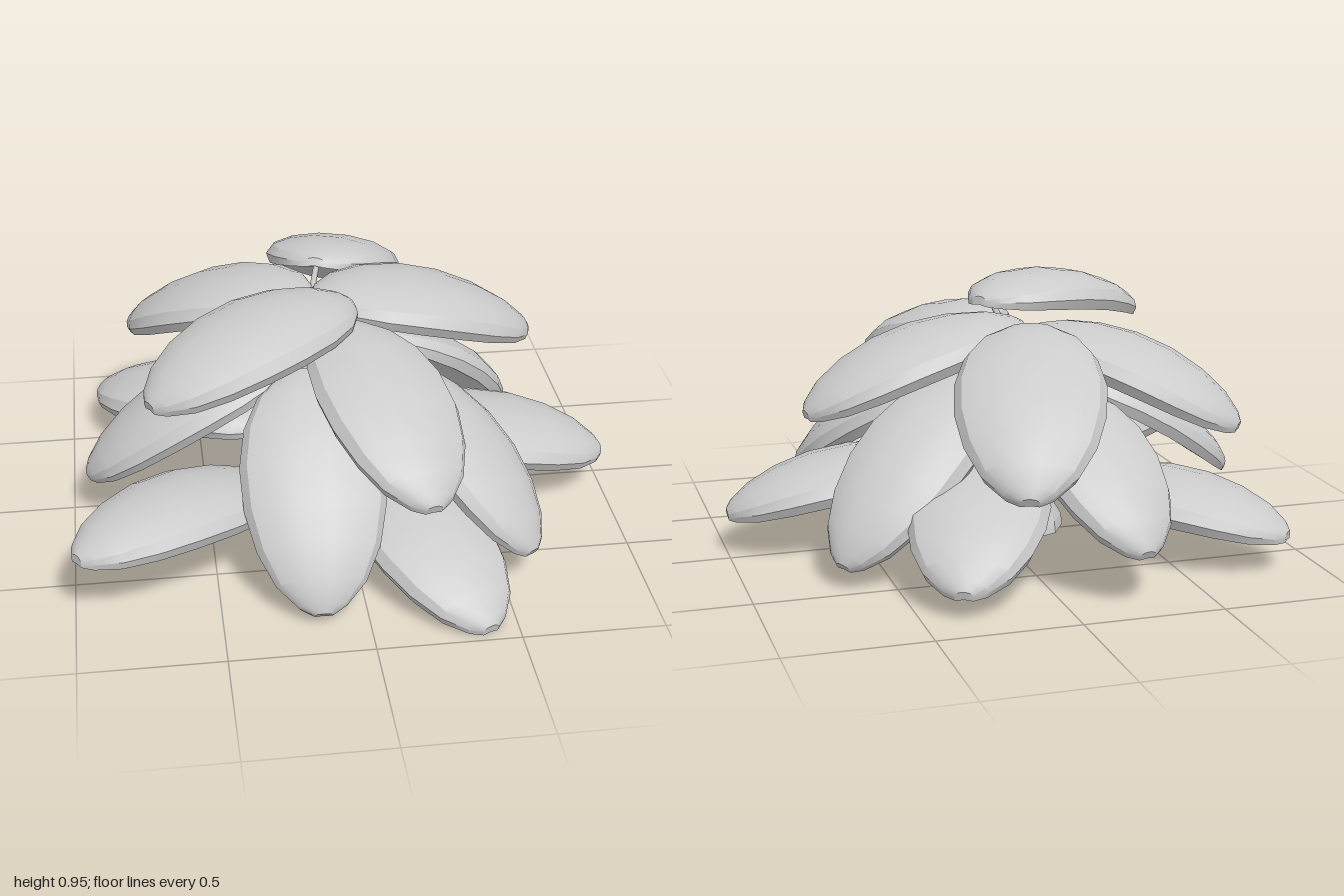
import * as THREE from 'three';
import { toCreasedNormals } from 'three/addons/utils/BufferGeometryUtils.js';

const V = (a) => new THREE.Vector3(...a);

// Closed skin over equal-length rings, with a fan cap on each end.
function loft(rings, crease) {
  const n = rings[0].length, pos = [], idx = [];
  rings.forEach((r) => r.forEach((p) => pos.push(p.x, p.y, p.z)));
  for (let i = 0; i < rings.length - 1; i++) {
    for (let j = 0; j < n; j++) {
      const k = (j + 1) % n, a = i * n, b = a + n;
      idx.push(a + j, a + k, b + j, a + k, b + k, b + j);
    }
  }
  [0, rings.length - 1].forEach((e) => {
    const c = new THREE.Vector3();
    rings[e].forEach((p) => c.addScaledVector(p, 1 / n));
    const ci = pos.length / 3;
    pos.push(c.x, c.y, c.z);
    for (let j = 0; j < n; j++) {
      const p = e * n + j, q = e * n + (j + 1) % n;
      if (e === 0) idx.push(ci, q, p); else idx.push(ci, p, q);
    }
  });
  const g = new THREE.BufferGeometry();
  g.setAttribute('position', new THREE.Float32BufferAttribute(pos, 3));
  g.setIndex(idx);
  return toCreasedNormals(g, crease);
}

// Fleshy leaf: domed top, narrow rim, slightly hollow underside, bowed along its length.
function leafGeometry(base, tip, width, roll) {
  const T = tip.clone().sub(base), len = T.length();
  T.normalize();
  const S = new THREE.Vector3(0, 1, 0).cross(T).normalize().applyAxisAngle(T, roll);
  const N = T.clone().cross(S);
  const rings = [], steps = 9, arc = 7;
  for (let i = 0; i <= steps; i++) {
    const t = Math.PI * i / steps;
    const u = (1 - Math.cos(t)) / 2;
    const s = Math.max(Math.sin(t), 0.14);
    const w = width / 2 * s * (1 + 0.06 * Math.cos(t));
    const bow = 0.05 * Math.sin(Math.PI * u) - 0.025;
    const h = 0.095 * Math.pow(s, 0.8);
    const rim = 0.012 + 0.028 * s;
    const at = (x, y) => base.clone().addScaledVector(T, len * u)
      .addScaledVector(S, x).addScaledVector(N, bow + y);
    const ring = [];
    for (let j = 0; j <= arc; j++) {
      const a = Math.PI * j / arc;
      ring.push(at(w * Math.cos(a), h * Math.sin(a)));
    }
    ring.push(at(-w * 0.92, -rim), at(0, -rim * 0.7), at(w * 0.92, -rim));
    rings.push(ring);
  }
  return loft(rings, 0.5);
}

// Leaves per tier: base point, tip point, width, roll about the length.
const TIERS = {
  upper: [
    [[-0.05, 0.86, -0.27], [0.18, 0.44, -0.98], 0.52, 0],
    [[-0.08, 0.83, -0.04], [0.75, 0.58, -0.18], 0.50, 0],
    [[0.02, 0.89, 0.13], [-0.71, 0.75, 0.54], 0.47, 0],
    [[-0.11, 0.81, -0.09], [-0.74, 0.52, -0.55], 0.49, 0],
  ],
  middle: [
    [[-0.01, 0.81, 0.15], [0.20, 0.52, 0.94], 0.48, -0.08],
    [[0.16, 0.62, 0.09], [0.61, 0.15, 0.70], 0.49, -0.3],
    [[-0.15, 0.64, 0.18], [-0.16, 0.06, 0.86], 0.51, 0],
    [[0.09, 0.65, -0.09], [0.69, 0.10, -0.46], 0.45, -0.22],
    [[-0.11, 0.63, -0.20], [-0.25, 0.21, -0.94], 0.46, 0],
    [[-0.18, 0.64, 0.04], [-0.95, 0.20, 0.05], 0.47, 0],
  ],
  lower: [
    [[0.17, 0.30, 0.04], [1.0, 0.17, 0.07], 0.50, 0],
    [[-0.25, 0.23, 0.26], [-0.98, 0.29, 0.73], 0.45, 0.05],
    [[0.07, 0.24, 0.19], [0.40, 0.04, 0.97], 0.47, 0],
    [[0.06, 0.34, -0.17], [0.37, 0.11, -0.87], 0.49, 0],
    [[-0.22, 0.24, -0.15], [-0.87, 0.15, -0.70], 0.50, 0],
  ],
};

export function createModel() {
  const model = new THREE.Group();
  model.name = 'leafRosette';
  const material = new THREE.MeshStandardMaterial({ color: 0xcccccc });
  const add = (parent, name, geometry) => {
    const mesh = new THREE.Mesh(geometry, material);
    mesh.name = name;
    parent.add(mesh);
  };

  // Stem: flared slanted foot narrowing to a point; each row is x, y, z, radius, slant.
  const profile = [
    [-0.12, 0.025, 0.035, 0.148, 0.11], [-0.12, 0.065, 0.035, 0.142, 0.08],
    [-0.12, 0.11, 0.025, 0.112, 0], [-0.12, 0.19, 0.02, 0.095, 0],
    [-0.12, 0.31, 0.03, 0.08, 0], [-0.12, 0.42, 0.03, 0.05, 0],
    [-0.13, 0.56, 0.05, 0.038, 0], [-0.15, 0.72, 0.08, 0.012, 0],
  ];
  add(model, 'stem', loft(profile.map(([x, y, z, r, slant]) =>
    Array.from({ length: 10 }, (_, j) => {
      const a = j / 10 * Math.PI * 2;
      return new THREE.Vector3(x + r * Math.sin(a), y + r * slant * Math.cos(a), z + r * 1.1 * Math.cos(a));
    })), 0.6));

  // Leaves, each joined to the stem by a thin stalk
  for (const [tier, leaves] of Object.entries(TIERS)) {
    const group = new THREE.Group();
    group.name = tier + 'Leaves';
    leaves.forEach(([b, t, width, roll], i) => {
      const base = V(b), tip = V(t);
      add(group, `${tier}Leaf${i + 1}`, leafGeometry(base, tip, width, roll));
      const root = new THREE.Vector3(-0.13, Math.min(base.y - 0.05, 0.68), 0.05);
      const end = base.clone().lerp(tip, 0.06);
      const mid = root.clone().lerp(base, 0.6).add(new THREE.Vector3(0, -0.01, 0));
      const curve = new THREE.QuadraticBezierCurve3(root, mid, end);
      add(group, `${tier}Stalk${i + 1}`, new THREE.TubeGeometry(curve, 4, 0.012, 5));
    });
    model.add(group);
  }
  return model;
}
